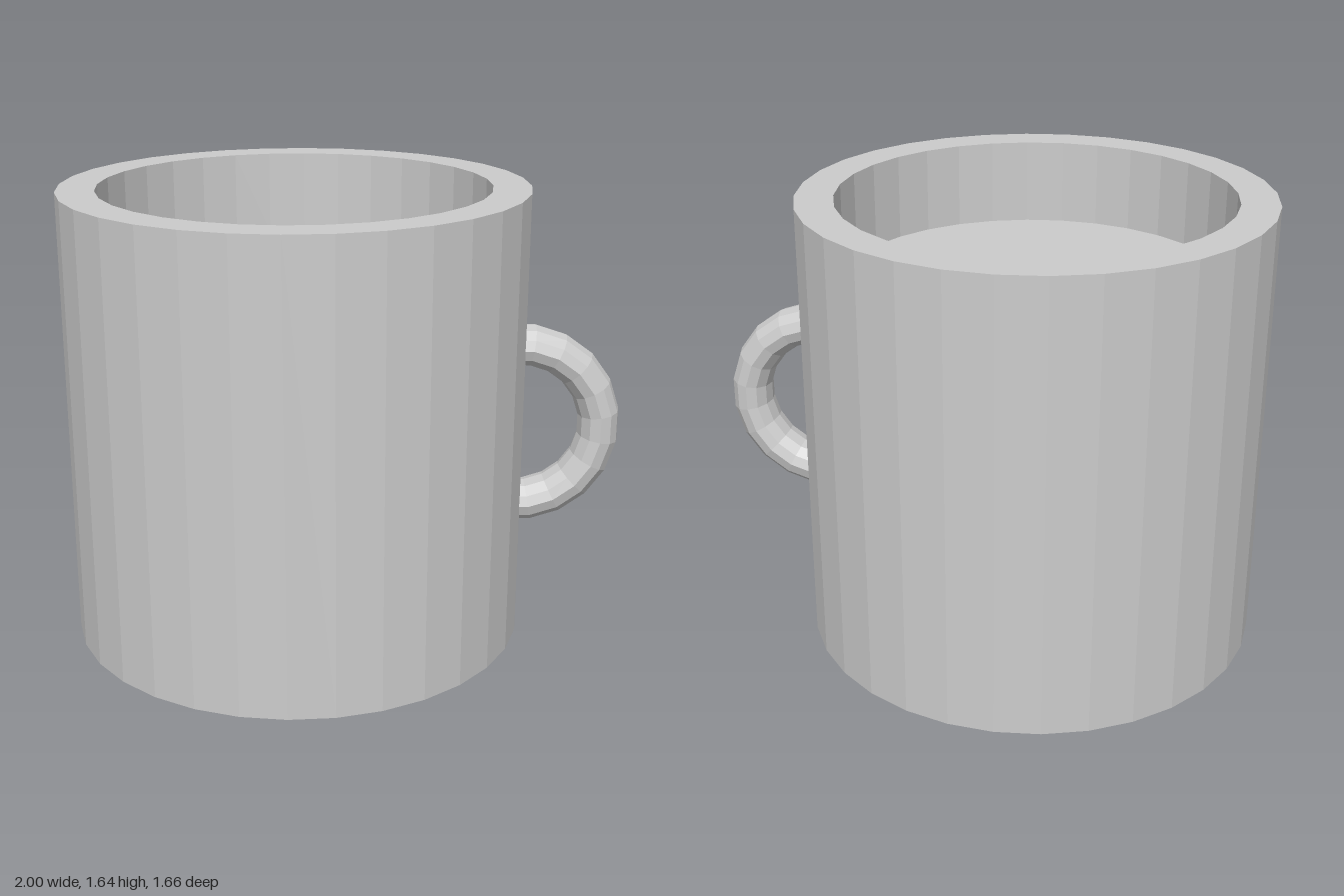
import * as THREE from 'three';

const CUP_X = -0.17;

export function createModel() {
  const model = new THREE.Group();
  model.name = 'mug';
  const material = new THREE.MeshStandardMaterial({ color: 0xcccccc, flatShading: true });

  const add = (name, geometry, x, y, z) => {
    const mesh = new THREE.Mesh(geometry, material);
    mesh.name = name;
    mesh.position.set(x, y, z);
    model.add(mesh);
    return mesh;
  };

  // Thick-walled cup: base, outer wall, rim, inner wall, raised inner floor
  const profile = [
    [0, 0], [0.83, 0], [0.83, 1.64], [0.695, 1.64], [0.695, 1.33], [0, 1.33],
  ].map(([r, y]) => new THREE.Vector2(r, y));
  add('cup', new THREE.LatheGeometry(profile, 32), CUP_X, 0, 0);

  // Half-ring handle, wider across than it is thick, its ends sunk into the wall
  const arc = Math.PI * 1.1;
  const ring = new THREE.TorusGeometry(0.298, 0.074, 12, 11, arc);
  ring.rotateZ(-arc / 2);
  ring.scale(1, 1, 1.26);
  add('handle', ring, 0.628, 0.79, 0.075);

  return model;
}
